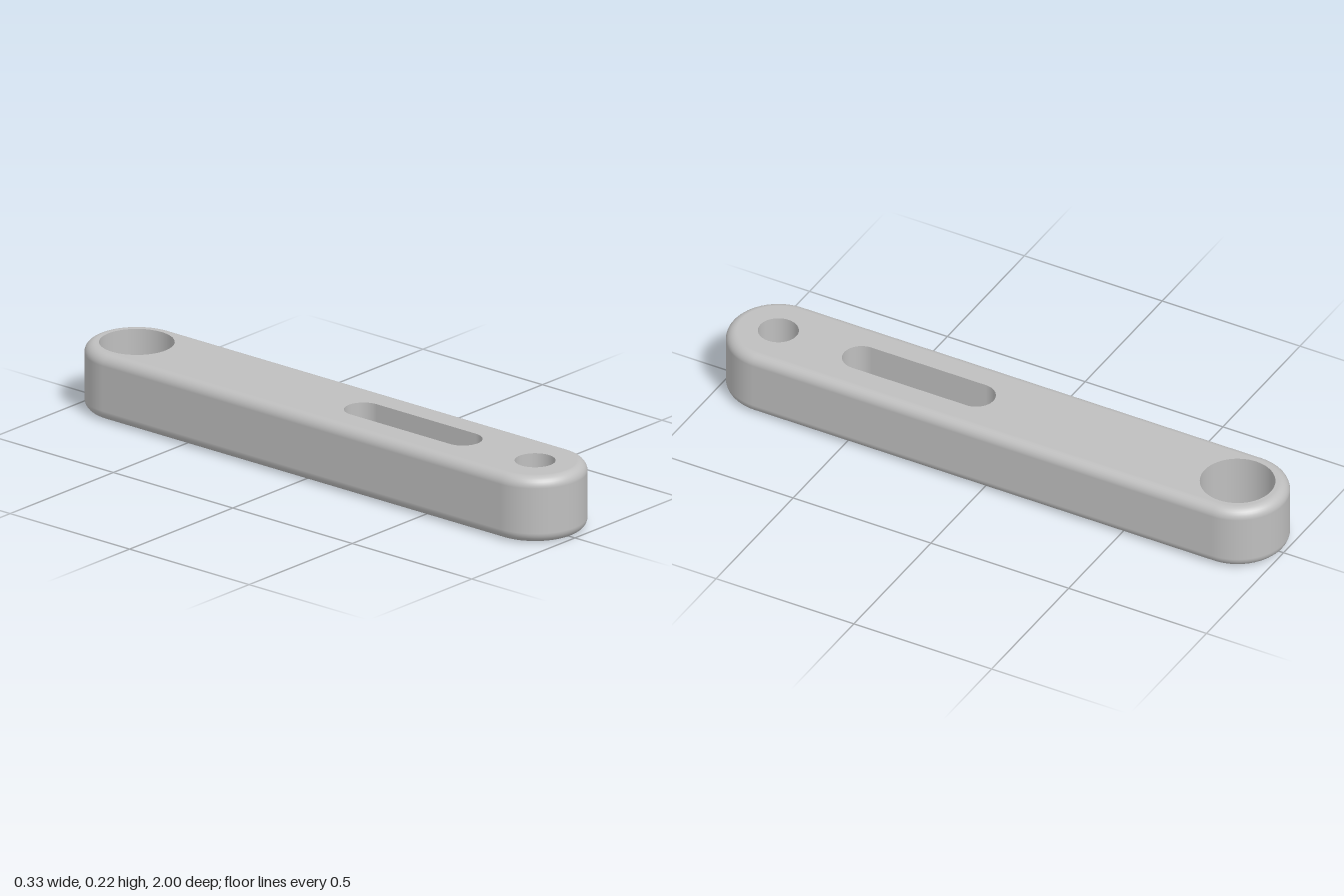
import * as THREE from 'three';

const HEIGHT = 0.222, RADIUS = 0.1667, FILLET = 0.035, END = 0.8333;
const HOLE = 0.065, BORE = 0.12, LEDGE = 0.037;
const SLOT = { r: 0.0625, z0: 0.1155, z1: 0.531 };
const SEG = 32;

// Stadium outline: rounded ends centred on z0 (back) and z1 (front)
function outline(r, z0, z1) {
  const points = [];
  for (const [start, z] of [[0, z1], [Math.PI, z0]]) {
    for (let i = 0; i <= SEG; i++) {
      const a = start + (Math.PI * i) / SEG;
      points.push({ c: Math.cos(a), s: Math.sin(a), x: r * Math.cos(a), z: z + r * Math.sin(a) });
    }
  }
  return points;
}

// Sweeps a profile of [radius, y, normal out, normal up] around a stadium
function sweep(profile, z0, z1) {
  const position = [], normal = [], index = [];
  const row = 2 * (SEG + 1);
  profile.forEach(([r, y, out, up], j) => {
    outline(r, z0, z1).forEach((p, i) => {
      position.push(p.x, y, p.z);
      normal.push(p.c * out, up, p.s * out);
      if (j === profile.length - 1) return;
      const a = j * row + i, b = j * row + ((i + 1) % row);
      index.push(a, a + row, b, b, a + row, b + row);
    });
  });
  const geometry = new THREE.BufferGeometry();
  geometry.setAttribute('position', new THREE.Float32BufferAttribute(position, 3));
  geometry.setAttribute('normal', new THREE.Float32BufferAttribute(normal, 3));
  geometry.setIndex(index);
  return geometry;
}

// Flat face with openings, facing up (side = 1) or down (side = -1)
function face(side, backRadius) {
  const path = (r, z0, z1) => outline(r, z0, z1).map(p => new THREE.Vector2(p.x, -side * p.z));
  // Round openings skip the doubled points where the two halves meet
  const circle = (r, z) => path(r, z, z).filter((p, i) => i !== SEG && i !== 2 * SEG + 1);
  const shape = new THREE.Shape(path(RADIUS - FILLET, -END, END));
  for (const hole of [circle(HOLE, END), circle(backRadius, -END), path(SLOT.r, SLOT.z0, SLOT.z1)]) {
    shape.holes.push(new THREE.Path(hole));
  }
  return new THREE.ShapeGeometry(shape)
    .rotateX((-side * Math.PI) / 2)
    .translate(0, side > 0 ? HEIGHT : 0, 0);
}

export function createModel() {
  const group = new THREE.Group();
  group.name = 'slottedLinkBar';
  const grey = new THREE.MeshStandardMaterial({ color: 0xbfbfbf });
  grey.name = 'plainGrey';
  const add = (name, geometry) => {
    const mesh = new THREE.Mesh(geometry, grey);
    mesh.name = name;
    group.add(mesh);
  };

  // Outer wall with rounded lower and upper edges
  const rim = [];
  for (const [start, y] of [[-Math.PI / 2, FILLET], [0, HEIGHT - FILLET]]) {
    for (let i = 0; i <= 8; i++) {
      const a = start + (Math.PI / 2) * (i / 8);
      const out = Math.cos(a), up = Math.sin(a);
      rim.push([RADIUS - FILLET + FILLET * out, y + FILLET * up, out, up]);
    }
  }
  add('outerWall', sweep(rim, -END, END));

  // Flat faces
  add('topFace', face(1, BORE));
  add('bottomFace', face(-1, HOLE));

  // Walls of the openings, running downward so they face inward
  const wall = (r, top, bottom) => [[r, top, -1, 0], [r, bottom, -1, 0]];
  add('frontHole', sweep(wall(HOLE, HEIGHT, 0), END, END));
  add('slotWall', sweep(wall(SLOT.r, HEIGHT, 0), SLOT.z0, SLOT.z1));

  // Counterbored back hole
  add('counterboreWall', sweep(wall(BORE, HEIGHT, LEDGE), -END, -END));
  add('counterboreLedge', sweep([[BORE, LEDGE, 0, 1], [HOLE, LEDGE, 0, 1]], -END, -END));
  add('backHole', sweep(wall(HOLE, LEDGE, 0), -END, -END));

  return group;
}
